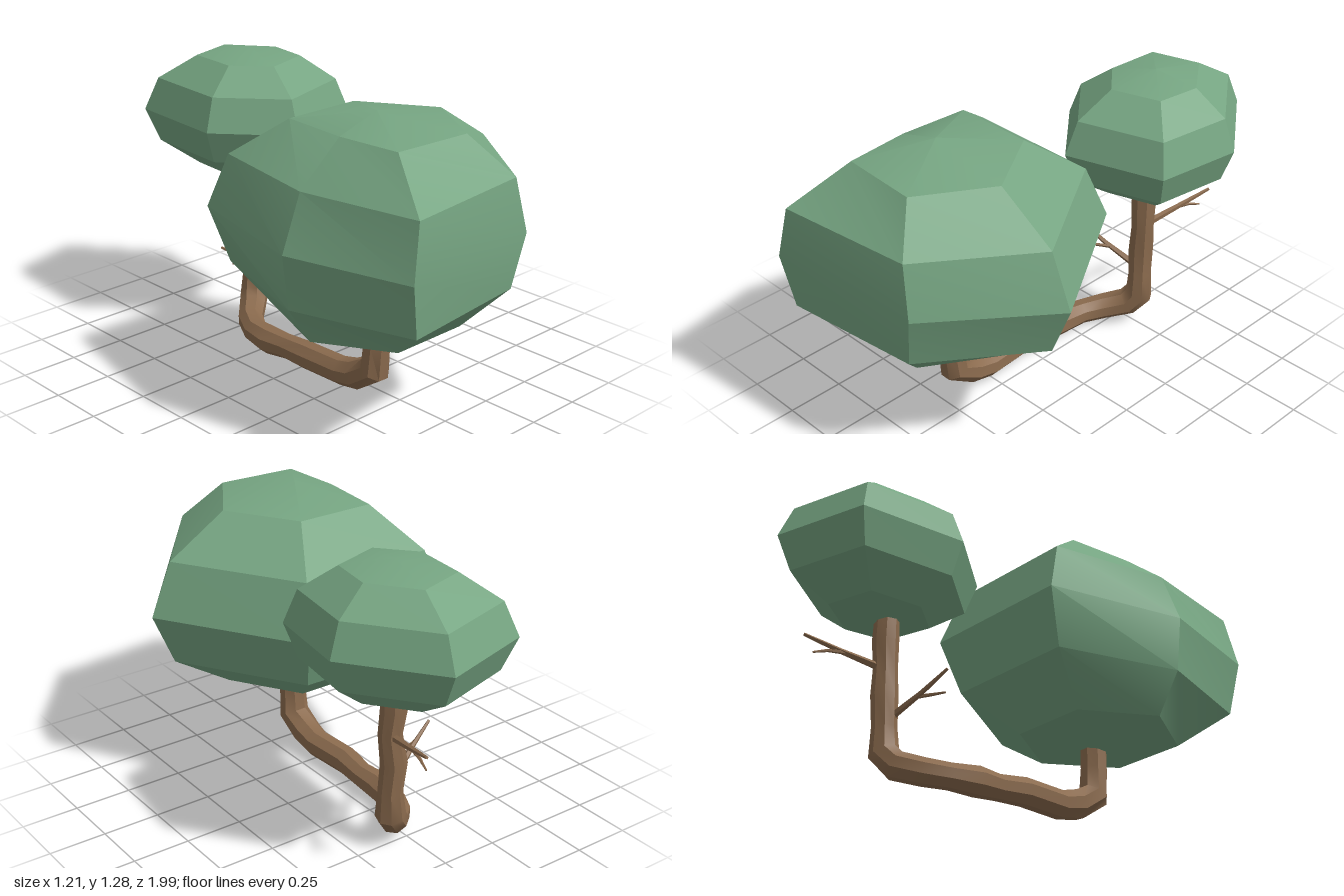
import * as THREE from 'three';
import { toCreasedNormals } from 'three/addons/utils/BufferGeometryUtils.js';

const V = (x, y, z) => new THREE.Vector3(x, y, z);
const green = new THREE.MeshStandardMaterial({ color: 0x76a582 });
const brown = new THREE.MeshStandardMaterial({ color: 0x8b6b4e });

// Joins equal-sized rings of points into a skin; a collapsed ring closes an end
function loft(name, rings, material, crease) {
  const pos = [];
  const face = (a, b, c) => {
    if (new THREE.Triangle(a, b, c).getArea() > 1e-8) pos.push(...a, ...b, ...c);
  };
  for (let r = 0; r + 1 < rings.length; r++) {
    const a = rings[r], b = rings[r + 1];
    for (let i = 0; i < a.length; i++) {
      const j = (i + 1) % a.length;
      face(a[i], b[i], b[j]);
      face(a[i], b[j], a[j]);
    }
  }
  const geometry = new THREE.BufferGeometry();
  geometry.setAttribute('position', new THREE.Float32BufferAttribute(pos, 3));
  const mesh = new THREE.Mesh(toCreasedNormals(geometry, crease), material);
  mesh.name = name;
  return mesh;
}

// One vertical rib of a crown: five [x, z] offsets, optionally squashed per level
const SPREAD = [0.5, 0.866, 1, 0.866, 0.5];
const NONE = [1, 1, 1, 1, 1];
const rib = (x, z, fx = NONE, fz = NONE) => SPREAD.map((s, k) => [x * s * fx[k], z * s * fz[k]]);

// Six-sided rounded crown
function crown(name, center, height, ribs) {
  const rings = [ribs.map(() => center.clone().setY(center.y + height))];
  SPREAD.forEach((s, k) => {
    const y = center.y + height * Math.cos((k + 1) * Math.PI / 6);
    rings.push(ribs.map(r => V(center.x + r[k][0], y, center.z + r[k][1])));
  });
  rings.push(ribs.map(() => center.clone().setY(center.y - height)));
  return loft(name, rings, green, 0.4);
}

// Faceted limb along points [x, y, z, radius]
function limb(name, path, sides) {
  const pts = path.map(p => V(p[0], p[1], p[2]));
  const u = V(0.31, 0.2, 0.93);
  const rings = pts.map((p, i) => {
    const t = V(0, 0, 0);
    if (i > 0) t.add(p.clone().sub(pts[i - 1]).normalize());
    if (i + 1 < pts.length) t.add(pts[i + 1].clone().sub(p).normalize());
    t.normalize();
    u.addScaledVector(t, -u.dot(t)).normalize();
    const v = u.clone().cross(t);
    return Array.from({ length: sides }, (_, k) => {
      const a = (k / sides) * Math.PI * 2;
      return p.clone()
        .addScaledVector(u, Math.cos(a) * path[i][3])
        .addScaledVector(v, Math.sin(a) * path[i][3]);
    });
  });
  const cap = p => Array.from({ length: sides }, () => p.clone());
  return loft(name, [cap(pts[0]), ...rings, cap(pts[pts.length - 1])], brown, 0.7);
}

export function createModel() {
  const tree = new THREE.Group();
  tree.name = 'bentTree';

  // Trunk: short front stem, run along the ground, tall back stem
  tree.add(limb('trunk', [
    [-0.09, 0.42, 0.45, 0.058],
    [-0.09, 0.28, 0.45, 0.058],
    [-0.09, 0.16, 0.44, 0.066],
    [-0.09, 0.10, 0.34, 0.066],
    [-0.085, 0.08, 0.25, 0.062],
    [-0.095, 0.082, 0.04, 0.061],
    [-0.085, 0.072, -0.09, 0.055],
    [-0.09, 0.068, -0.20, 0.064],
    [-0.07, 0.065, -0.32, 0.055],
    [-0.02, 0.075, -0.41, 0.058],
    [0.06, 0.105, -0.485, 0.062],
    [0.10, 0.16, -0.515, 0.064],
    [0.102, 0.27, -0.515, 0.052],
    [0.095, 0.40, -0.525, 0.056],
    [0.108, 0.53, -0.515, 0.05],
    [0.10, 0.64, -0.525, 0.055],
    [0.10, 0.80, -0.52, 0.05],
  ], 8));

  // Bare branches, each with a twig
  tree.add(limb('lowerBranch', [
    [0.09, 0.30, -0.51, 0.016], [-0.05, 0.385, -0.455, 0.011], [-0.17, 0.46, -0.42, 0.006],
  ], 5));
  tree.add(limb('lowerTwig', [
    [-0.03, 0.375, -0.46, 0.009], [-0.08, 0.38, -0.42, 0.007], [-0.13, 0.38, -0.395, 0.004],
  ], 5));
  tree.add(limb('upperBranch', [
    [0.11, 0.525, -0.53, 0.017], [0.15, 0.56, -0.70, 0.012], [0.20, 0.607, -0.85, 0.007],
  ], 5));
  tree.add(limb('upperTwig', [
    [0.145, 0.558, -0.69, 0.009], [0.16, 0.55, -0.76, 0.007], [0.175, 0.53, -0.82, 0.004],
  ], 5));

  // Large front crown, flattened on its right and front
  tree.add(crown('largeCrown', V(-0.12, 0.807, 0.46), 0.457, [
    rib(0.725, 0),
    rib(0.35, -0.6),
    rib(-0.35, -0.6),
    rib(-0.72, 0, [0.55, 0.64, 0.68, 0.74, 0.97]),
    rib(-0.35, 0.6, NONE, [0.93, 0.98, 0.89, 0.98, 1]),
    rib(0.35, 0.6, NONE, [1, 0.85, 0.78, 0.85, 1]),
  ]));

  // Small back crown, turned slightly
  tree.add(crown('smallCrown', V(0.12, 1, -0.54), 0.285, [
    rib(0.365, -0.09),
    rib(0.085, -0.46),
    rib(-0.33, -0.34),
    rib(-0.365, 0.13),
    rib(-0.11, 0.42),
    rib(0.31, 0.29),
  ]));

  return tree;
}
